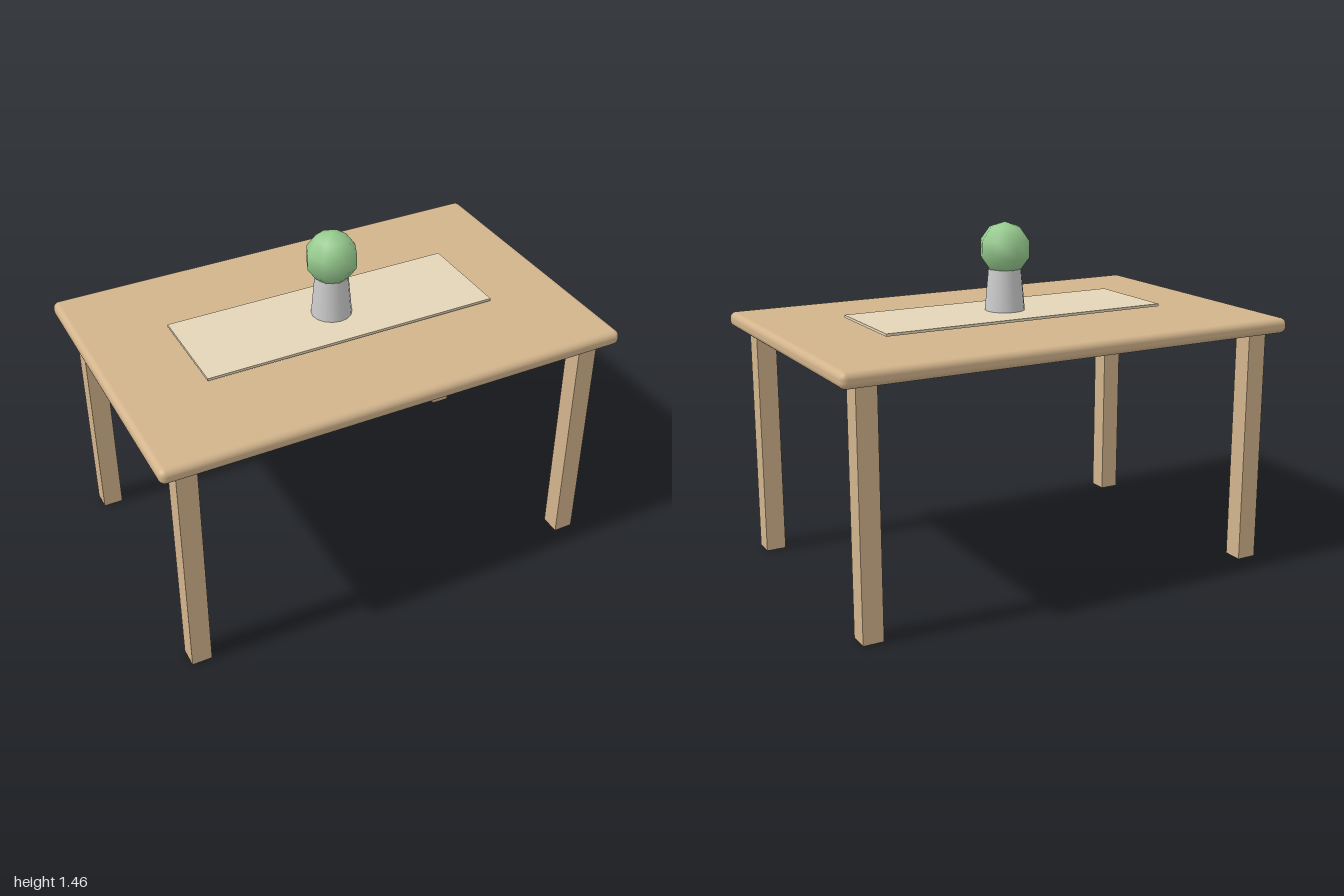
import * as THREE from 'three';
import { RoundedBoxGeometry } from 'three/addons/geometries/RoundedBoxGeometry.js';

const material = (color) => new THREE.MeshStandardMaterial({ color });

export function createModel() {
  const model = new THREE.Group();
  model.name = 'diningTable';

  const wood = material(0xd2b48c);
  const cloth = material(0xe3d5b8);
  const grey = material(0xcccccc);
  const green = material(0x98cc90);

  const add = (name, geometry, mat, x, y, z) => {
    const mesh = new THREE.Mesh(geometry, mat);
    mesh.name = name;
    mesh.position.set(x, y, z);
    model.add(mesh);
    return mesh;
  };

  // Table top with softly rounded edges
  add('tableTop', new RoundedBoxGeometry(2, 0.064, 1.28, 3, 0.027), wood, 0, 1.032, 0);

  // Four square legs
  const legGeometry = new THREE.BoxGeometry(0.085, 1, 0.085);
  for (const [side, x] of [['Left', 0.883], ['Right', -0.883]]) {
    for (const [end, z] of [['front', 0.543], ['back', -0.543]]) {
      add(`${end}${side}Leg`, legGeometry, wood, x, 0.5, z);
    }
  }

  // Thin runner, just clear of the top
  add('tableRunner', new THREE.BoxGeometry(1.28, 0.011, 0.426), cloth, 0, 1.082, 0);

  // Tapered vase with a faceted ball of foliage
  add('vase', new THREE.CylinderGeometry(0.069, 0.085, 0.175, 16), grey, 0, 1.1745, 0);
  add('foliage', new THREE.SphereGeometry(0.112, 8, 5), green, 0, 1.346, 0);

  return model;
}
